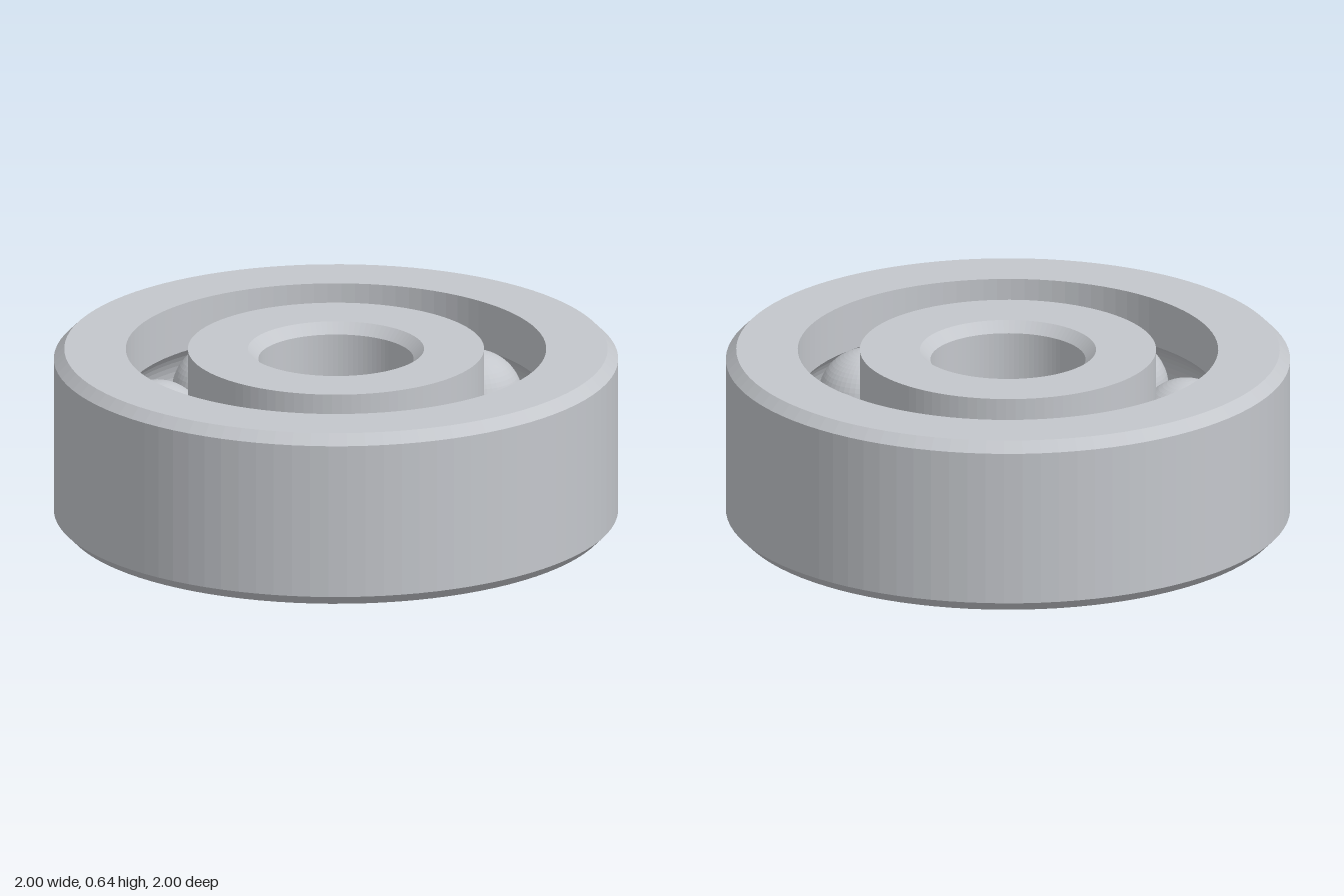
import * as THREE from 'three';

const HEIGHT = 0.636, MID = HEIGHT / 2, CHAMFER = 0.037;
const PITCH = 0.635, BALL = 0.176, GROOVE = 0.178, GAP = 0.11;
const BALLS = 8, SEGMENTS = 96;

// Arc of the ball groove, centred on the pitch circle
function grooveArc(centreAngle, steps = 14) {
  const half = Math.acos(GAP / GROOVE);
  return Array.from({ length: steps + 1 }, (_, i) => {
    const a = centreAngle + half - (2 * half * i) / steps;
    return [PITCH + GROOVE * Math.cos(a), MID + GROOVE * Math.sin(a)];
  });
}

// Closed counter-clockwise profile revolved into a ring
function ring(name, profile, material) {
  const points = [...profile, profile[0]].map(([r, y]) => new THREE.Vector2(r, y));
  const mesh = new THREE.Mesh(new THREE.LatheGeometry(points, SEGMENTS), material);
  mesh.name = name;
  return mesh;
}

export function createModel() {
  const steel = new THREE.MeshStandardMaterial({ color: 0xc4c7cc, flatShading: true });
  steel.name = 'steel';
  const model = new THREE.Group();
  model.name = 'ballBearing';

  // Outer ring: chamfered outside, groove inside
  const outerBore = PITCH + GAP;
  model.add(ring('outerRing', [
    [outerBore, 0], [1 - CHAMFER, 0], [1, CHAMFER],
    [1, HEIGHT - CHAMFER], [1 - CHAMFER, HEIGHT], [outerBore, HEIGHT],
    ...grooveArc(0),
  ], steel));

  // Inner ring: groove outside, chamfered bore
  const innerRim = PITCH - GAP, bore = 0.275;
  model.add(ring('innerRing', [
    [bore + CHAMFER, 0], [innerRim, 0],
    ...grooveArc(Math.PI),
    [innerRim, HEIGHT], [bore + CHAMFER, HEIGHT],
    [bore, HEIGHT - CHAMFER], [bore, CHAMFER],
  ], steel));

  // Balls spaced evenly on the pitch circle
  const balls = new THREE.Group();
  balls.name = 'balls';
  const ballGeometry = new THREE.SphereGeometry(BALL, 48, 32);
  for (let i = 0; i < BALLS; i++) {
    const a = (i * 2 * Math.PI) / BALLS;
    const ball = new THREE.Mesh(ballGeometry, steel);
    ball.name = 'ball' + (i + 1);
    ball.position.set(PITCH * Math.cos(a), MID, PITCH * Math.sin(a));
    balls.add(ball);
  }
  model.add(balls);
  return model;
}
